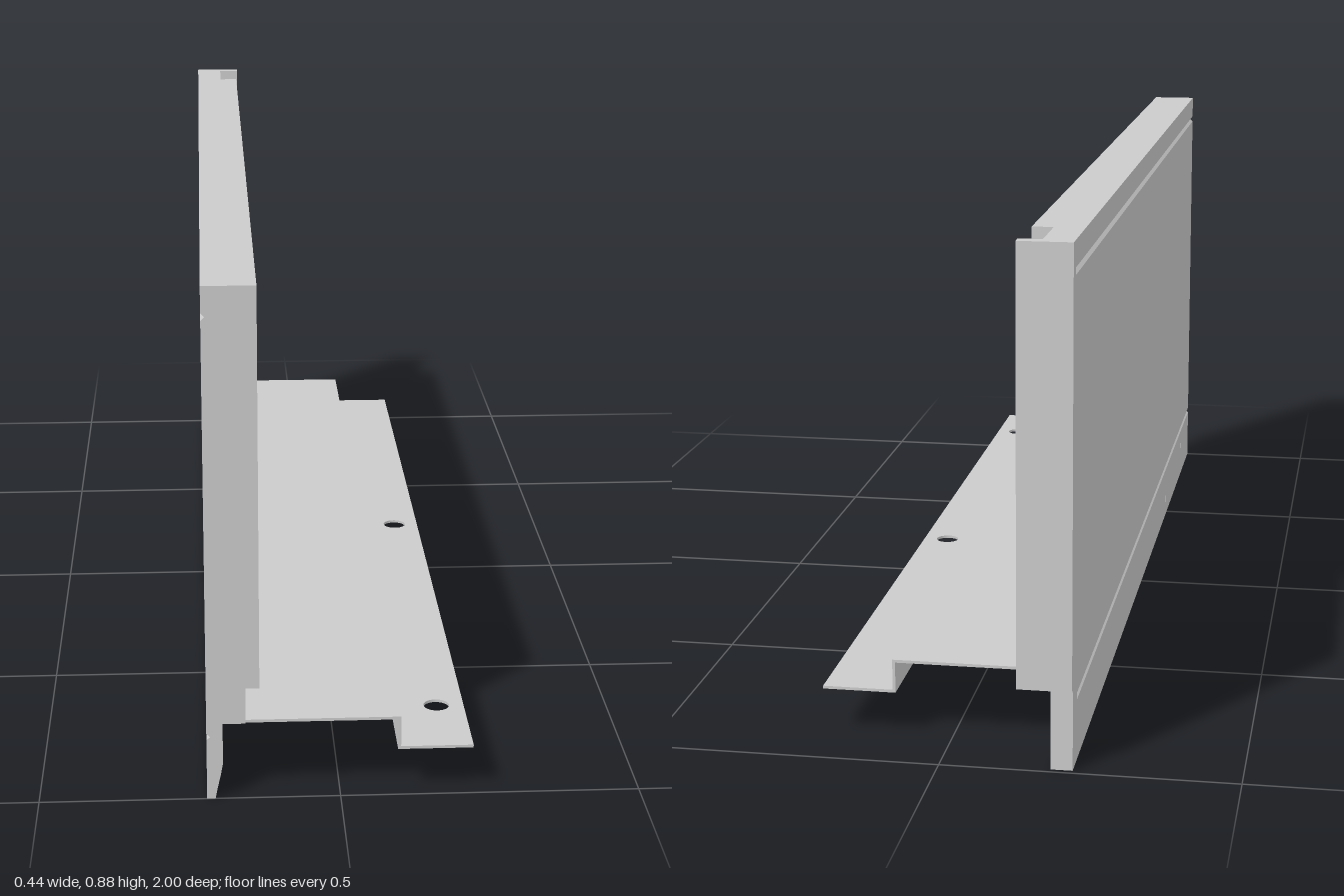
import * as THREE from 'three';

const material = new THREE.MeshStandardMaterial({ color: 0xcccccc, flatShading: true });
const OUT = -0.222; // outer face of the side wall

export function createModel() {
  const group = new THREE.Group();

  const add = (name, geometry) => {
    const mesh = new THREE.Mesh(geometry, material);
    mesh.name = name;
    group.add(mesh);
    return mesh;
  };

  // Box given by its limits on each axis
  const box = (name, x0, x1, y0, y1, z0, z1) =>
    add(name, new THREE.BoxGeometry(x1 - x0, y1 - y0, z1 - z0))
      .position.set((x0 + x1) / 2, (y0 + y1) / 2, (z0 + z1) / 2);

  // x-y profile swept from z0 to z1
  const sweep = (name, points, z0, z1) => {
    const shape = new THREE.Shape(points.map(([x, y]) => new THREE.Vector2(x, y)));
    const geometry = new THREE.ExtrudeGeometry(shape, { depth: z1 - z0, bevelEnabled: false });
    add(name, geometry.translate(0, 0, z0));
  };

  // Outer face with two small V grooves, listed from top to bottom
  const outerFace = [
    [OUT, 0.88],
    [OUT, 0.836], [OUT + 0.006, 0.83], [OUT, 0.824],
    [OUT, 0.118], [OUT + 0.006, 0.112], [OUT, 0.106],
  ];

  // Side wall: thick panel, stepped in at the foot
  sweep('sideWall', [
    ...outerFace,
    [-0.195, 0.106], [-0.195, 0.135], [-0.157, 0.135],
    [-0.157, 0.198], [-0.134, 0.198], [-0.134, 0.88],
  ], -0.865, 1);

  // Thinner wall section behind the panel
  sweep('rearWall', [
    ...outerFace,
    [-0.195, 0.106], [-0.195, 0.135], [-0.17, 0.135], [-0.17, 0.88],
  ], -0.98, -0.865);

  // Lower skirt in three lengths; the middle one is the release cover
  const skirt = (foot) => [
    [OUT, 0], [foot, 0], [-0.204, 0.02], [-0.199, 0.042],
    [-0.195, 0.064], [-0.195, 0.106], [OUT, 0.106],
  ];
  sweep('frontSkirt', skirt(-0.208), 0.811, 1);
  sweep('releaseCover', skirt(-0.218), 0.481, 0.809);
  sweep('rearSkirt', skirt(-0.208), -0.945, 0.479);
  box('skirtBacking', -0.216, -0.2, 0.045, 0.106, 0.45, 0.84);

  // Rear bracket: tall plate and the block below it
  box('rearPlate', OUT, -0.13, 0.14, 0.88, -1, -0.978);
  box('rearBlock', OUT, -0.185, 0, 0.2, -0.99, -0.945);

  // Bottom rail: bent sheet with a drilled flange
  const zBack = -0.89, zFront = 0.99, t = 0.005;
  sweep('rail', [
    [-0.195, 0.137], [-0.195, 0.137 - t], [0.096, 0.137 - t], [0.096, 0.078],
    [0.101, 0.078], [0.101, 0.137],
  ], zBack, zFront);

  const flange = new THREE.Shape([
    new THREE.Vector2(0.101, -zFront), new THREE.Vector2(0.222, -zFront),
    new THREE.Vector2(0.222, -zBack), new THREE.Vector2(0.101, -zBack),
  ]);
  for (const z of [-0.04, 0.835]) {
    flange.holes.push(new THREE.Path().absarc(0.175, -z, 0.022, 0, Math.PI * 2, true));
  }
  const flangeGeometry = new THREE.ExtrudeGeometry(flange, {
    depth: t, bevelEnabled: false, curveSegments: 24,
  });
  add('railFlange', flangeGeometry.rotateX(-Math.PI / 2).translate(0, 0.078, 0));

  return group;
}
